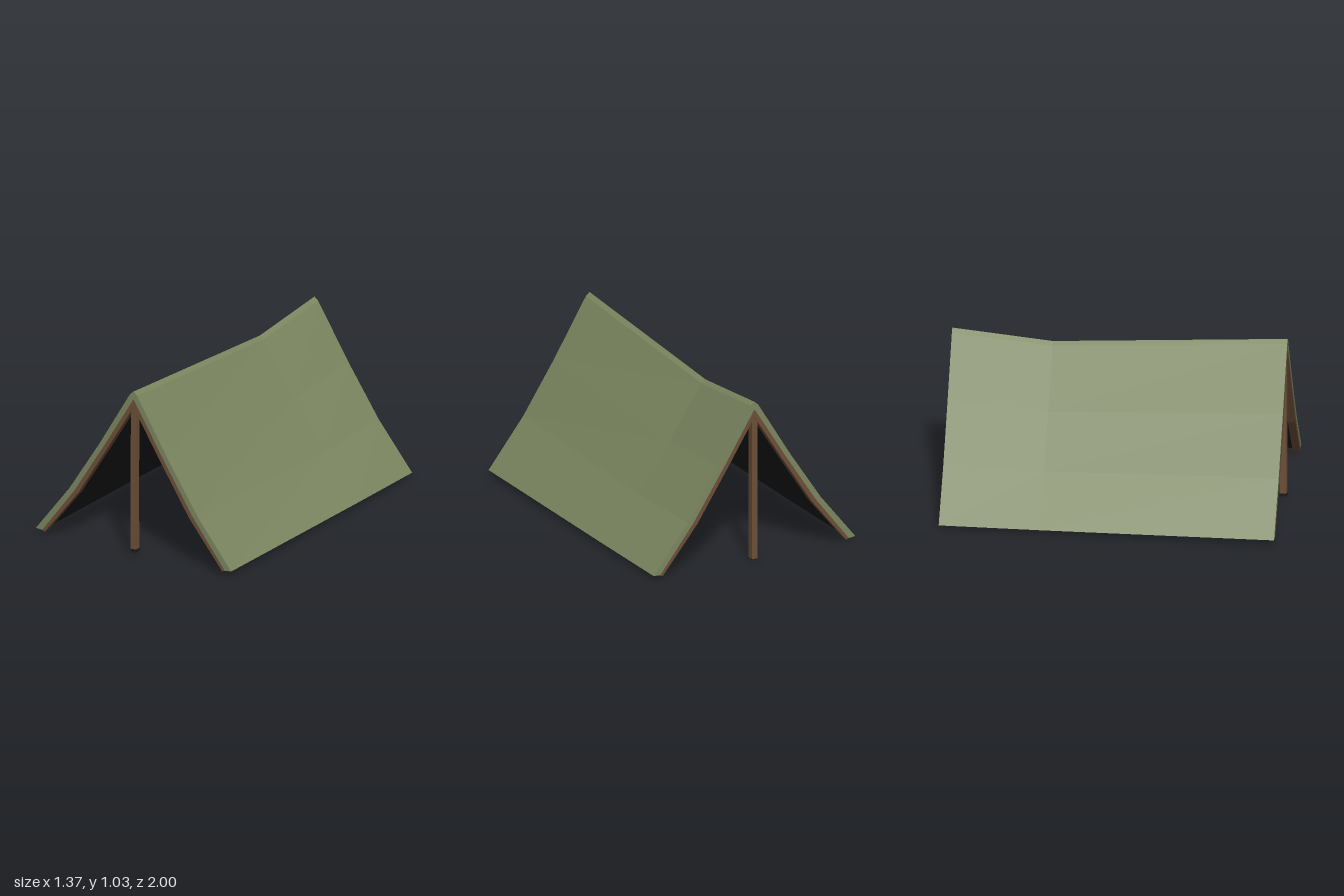
import * as THREE from 'three';

const mat = (name, color, side = THREE.FrontSide) => {
  const m = new THREE.MeshStandardMaterial({ color, side, flatShading: true });
  m.name = name;
  return m;
};

// Half cross-sections from the hem up to the ridge
const CANVAS_TOP = [[0.685, 0.034], [0.45, 0.333], [0.24, 0.656], [0.025, 1.013], [0, 1.035]];
const LINING = [[0.64, 0.03], [0.413, 0.328], [0.21, 0.645], [0.01, 0.97], [0, 0.985]];
const BEAM_UNDER = [[0.622, 0.022], [0.388, 0.315], [0.188, 0.63], [0.01, 0.918], [0, 0.932]];

// The ridge sags between its two ends
function place(x, y, z) {
  const s = z > -0.4
    ? THREE.MathUtils.mapLinear(z, 1, -0.4, 1, 0.92)
    : THREE.MathUtils.mapLinear(z, -0.4, -1, 0.92, 0.976);
  return [x, y * s - 0.005 * (1 - z), z];
}

// Mirrored cross-section at z, running from the left hem to the right hem
function row(half, z) {
  const mirrored = half.slice(0, -1).reverse().map(([x, y]) => [-x, y]);
  return [...half, ...mirrored].map(([x, y]) => place(x, y, z));
}

// Flat surface between rows of equal length
function surface(name, pairs, material) {
  const pos = [];
  for (const [a, b] of pairs) {
    for (let i = 0; i < a.length - 1; i++) {
      pos.push(...a[i], ...b[i], ...b[i + 1], ...a[i], ...b[i + 1], ...a[i + 1]);
    }
  }
  const geo = new THREE.BufferGeometry();
  geo.setAttribute('position', new THREE.Float32BufferAttribute(pos, 3));
  geo.computeVertexNormals();
  const mesh = new THREE.Mesh(geo, material);
  mesh.name = name;
  return mesh;
}

// A folded sheet with thickness, running along zs from front to back
function foldedSheet(name, outer, inner, zs, mats) {
  const group = new THREE.Group();
  group.name = name;
  const out = zs.map((z) => row(outer, z));
  const inn = zs.map((z) => row(inner, z));
  const last = zs.length - 1;
  const tops = [], unders = [];
  for (let i = 0; i < last; i++) {
    tops.push([out[i], out[i + 1]]);
    unders.push([inn[i + 1], inn[i]]);
  }
  const edge = (rows, i) => rows.map((r) => r.at(i));
  group.add(
    surface(name + 'Outside', tops, mats.outside),
    surface(name + 'Ends', [[inn[0], out[0]], [out[last], inn[last]]], mats.ends),
    surface(name + 'Inside', unders, mats.inside),
    surface(name + 'Hems', [
      [edge(out, 0), edge(inn, 0)],
      [edge(inn, -1), edge(out, -1)],
    ], mats.hem),
  );
  return group;
}

// Upright pole with a slight bend and a dark foot
function pole(name, z, bottom, top, footHeight, bend, wood, dark, innerFace) {
  const group = new THREE.Group();
  group.name = name;
  const bendX = (y) => -0.003 - bend * Math.sin(Math.PI * Math.min(1, y / top) * 1.2);
  const section = (part, y0, y1, steps, material) => {
    const geo = new THREE.BoxGeometry(0.035, y1 - y0, 0.042, 1, steps, 1);
    geo.translate(0, (y0 + y1) / 2, z);
    const p = geo.attributes.position;
    for (let i = 0; i < p.count; i++) p.setX(i, p.getX(i) + bendX(p.getY(i)));
    geo.computeVertexNormals();
    const mesh = new THREE.Mesh(geo, material);
    mesh.name = part;
    group.add(mesh);
  };
  section(name + 'Foot', bottom, bottom + footHeight, 1, dark);
  section(name + 'Shaft', bottom + footHeight, top, 4, [wood, wood, wood, wood, innerFace, wood]);
  return group;
}

export function createModel() {
  const green = mat('canvas green', 0x7c8760);
  const wood = mat('wood brown', 0x6e5039);
  const dark = mat('lining black', 0x1c1c1c);

  const tent = new THREE.Group();
  tent.name = 'tent';

  // Canvas with a dark lining
  tent.add(foldedSheet('canvas', CANVAS_TOP, LINING, [1, -0.4, -1],
    { outside: green, ends: green, inside: dark, hem: dark }));

  // Sloping beams at both ends
  tent.add(foldedSheet('frontBeams', LINING, BEAM_UNDER, [1, 0.955],
    { outside: wood, ends: wood, inside: wood, hem: dark }));
  tent.add(foldedSheet('backBeams', LINING, BEAM_UNDER, [-0.955, -1],
    { outside: wood, ends: wood, inside: wood, hem: wood }));

  // Upright poles
  tent.add(pole('frontPole', 0.976, 0.016, 0.95, 0.02, 0.004, wood, dark, wood));
  tent.add(pole('backPole', -0.976, 0, 0.91, 0.004, 0, wood, dark, dark));

  return tent;
}
